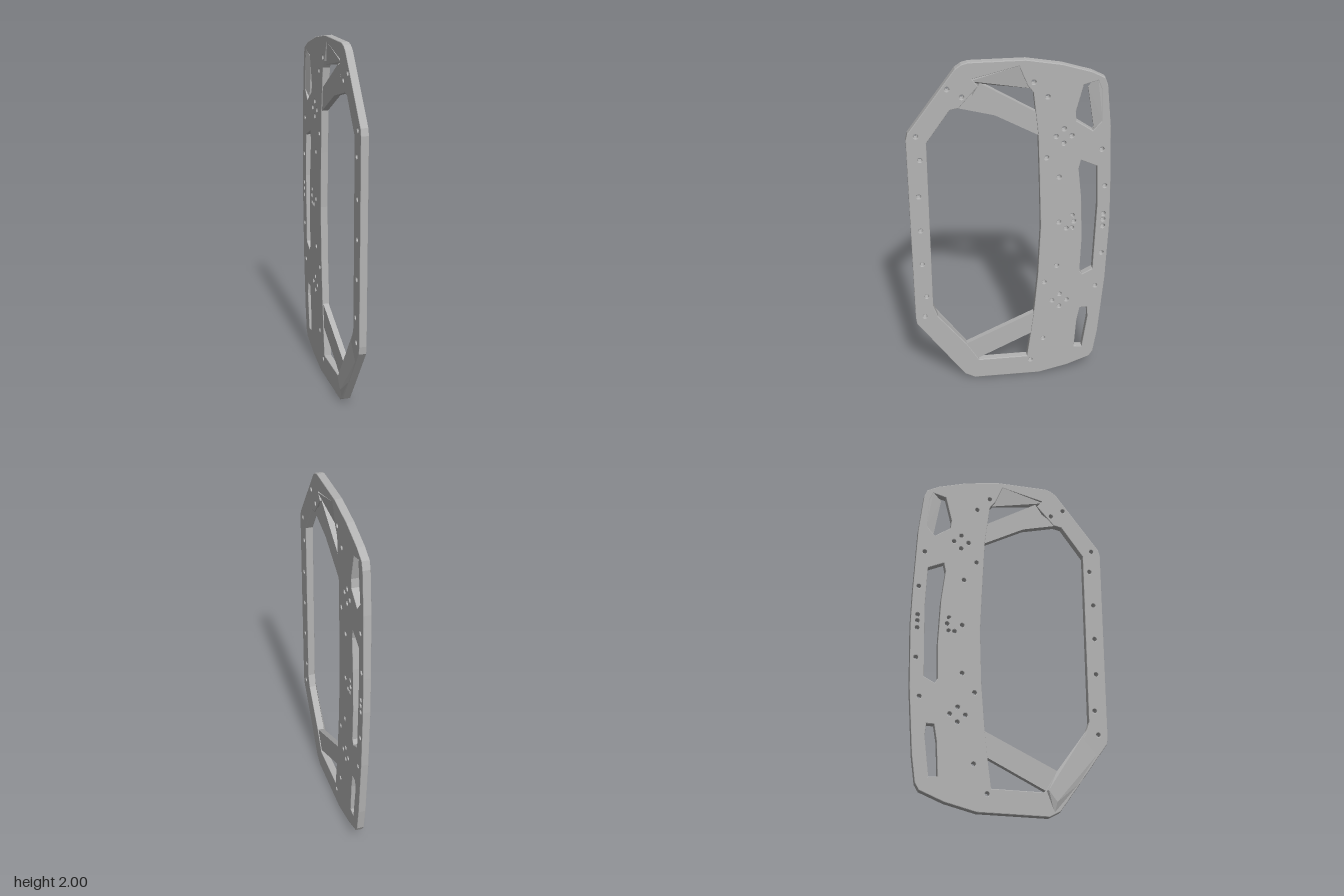
import * as THREE from 'three';
import { ConvexGeometry } from 'three/addons/geometries/ConvexGeometry.js';

const MID = 0.003; // centre plane of the plate in x
const HALF = 0.021; // half thickness of the plate
const BEVEL = 0.004;

const points = (list) => list.map(([z, y]) => new THREE.Vector2(z, y));

// Extrude a (z, y) shape across x, centred on the plate
function plate(shape, half, bevel) {
  const geo = new THREE.ExtrudeGeometry(shape, {
    depth: 2 * (half - bevel), bevelEnabled: bevel > 0, bevelThickness: bevel,
    bevelSize: bevel, bevelOffset: -bevel, bevelSegments: 2, curveSegments: 6,
  });
  geo.translate(0, 0, bevel - half);
  geo.rotateY(-Math.PI / 2);
  geo.translate(MID, 0, 0);
  return geo;
}

// Tapered web: each point is z, y and half thickness there
function web(list) {
  return new ConvexGeometry(list.flatMap(([z, y, h]) => [
    new THREE.Vector3(MID - h, y, z), new THREE.Vector3(MID + h, y, z)]));
}

export function createModel() {
  const model = new THREE.Group();
  model.name = 'framePlate';
  const grey = new THREE.MeshStandardMaterial({ color: 0xb4b4b4 });
  grey.name = 'grey';
  const add = (name, geo) => {
    const mesh = new THREE.Mesh(geo, grey);
    mesh.name = name;
    model.add(mesh);
  };

  // Outer outline of the frame
  const frame = new THREE.Shape(points([
    [0.55, 1.587], [0.54, 1.625], [0.286, 1.968], [0.254, 1.99], [0.22, 2], [-0.074, 2],
    [-0.26, 1.968], [-0.418, 1.92], [-0.487, 1.884], [-0.503, 1.841], [-0.529, 1.603],
    [-0.545, 1.233], [-0.55, 1.02], [-0.54, 0.65], [-0.513, 0.28], [-0.492, 0.132],
    [-0.47, 0.095], [-0.339, 0.042], [-0.169, 0], [0.217, 0], [0.275, 0.032],
    [0.392, 0.2], [0.545, 0.423], [0.55, 0.466],
  ]));

  const openings = [
    // main opening, later crossed by the two braces
    [[0.444, 1.566], [0.317, 1.746], [0.27, 1.755], [0.17, 1.87], [0.2, 1.91],
      [-0.04, 1.968], [-0.085, 1.86], [-0.115, 1.82], [-0.143, 1.582], [-0.153, 1.339],
      [-0.164, 1.02], [-0.153, 0.704], [-0.132, 0.439], [-0.116, 0.296], [-0.095, 0.13],
      [0.19, 0.13], [0.259, 0.249], [0.423, 0.466], [0.447, 0.54]],
    // corner slot
    [[-0.376, 1.85], [-0.45, 1.87], [-0.47, 1.82], [-0.478, 1.64], [-0.434, 1.588],
      [-0.344, 1.65], [-0.339, 1.7]],
    // long slot
    [[-0.376, 1.418], [-0.466, 1.376], [-0.476, 1.127], [-0.466, 0.72], [-0.407, 0.688],
      [-0.392, 0.714], [-0.397, 0.915], [-0.386, 1.18], [-0.365, 1.365]],
    // lower slot
    [[-0.402, 0.455], [-0.444, 0.455], [-0.45, 0.386], [-0.423, 0.17], [-0.376, 0.175],
      [-0.386, 0.36]],
  ];
  for (const o of openings) frame.holes.push(new THREE.Path(points(o)));

  // Drilled holes
  const drill = (z, y) => {
    frame.holes.push(new THREE.Path().absarc(z, y, 0.012, 0, Math.PI * 2, false));
  };
  for (const y of [1.608, 1.254, 1.042, 0.825, 0.471]) drill(0.497, y);
  for (const y of [1.471, 0.608]) drill(0.481, y);
  for (const y of [1.794, 1.444, 0.651, 0.254]) drill(-0.19, y);
  for (const y of [1.323, 0.757]) drill(-0.26, y);
  for (const y of [1.878, 0.1]) drill(-0.116, y);
  for (const y of [1.254, 1.079, 1.042, 1, 0.825]) drill(-0.513, y);
  for (const y of [1.476, 0.603]) drill(-0.487, y);
  for (const y of [1.566, 0.519]) {
    for (const [dz, dy] of [[0.042, 0], [-0.042, 0], [0, 0.042], [0, -0.042]]) drill(-0.28 + dz, y + dy);
  }
  for (const y of [1.079, 1]) for (const z of [-0.307, -0.339]) drill(z, y);
  drill(-0.265, 1.042);
  drill(-0.349, 1.042);
  drill(0.328, 1.862);
  drill(0.254, 1.815);
  add('frame', plate(frame, HALF, BEVEL));

  // Braces across the main opening, a little thinner than the frame
  add('upperBrace', plate(new THREE.Shape(points([
    [0.3, 1.75], [0.285, 1.757], [0.085, 1.704], [-0.15, 1.575], [-0.13, 1.71],
    [0.16, 1.885], [0.2, 1.82],
  ])), 0.017, 0));
  add('lowerBrace', plate(new THREE.Shape(points([
    [-0.14, 0.445], [0.265, 0.25], [0.2, 0.138], [-0.125, 0.3],
  ])), 0.016, 0));

  // Sloped webs that thin towards the openings
  add('topWeb', web([
    [0.21, 1.9, 0.02], [-0.04, 1.97, 0.02], [0.17, 1.88, 0.006], [-0.1, 1.84, 0.006],
  ]));
  add('cornerWeb', web([
    [-0.45, 1.875, 0.02], [-0.475, 1.82, 0.02], [-0.483, 1.64, 0.02],
    [-0.402, 1.83, 0.006], [-0.44, 1.6, 0.006],
  ]));

  // Raised wedge on the lower front arm, on the right-hand face
  const base = [[0.435, 0.5], [0.259, 0.249], [0.2, 0.138], [0.243, 0.02], [0.392, 0.2], [0.52, 0.4]];
  const ridge = [[0.21, 0.14], [0.255, 0.08]];
  add('armWedge', new ConvexGeometry([
    ...base.map(([z, y]) => new THREE.Vector3(-0.016, y, z)),
    ...ridge.map(([z, y]) => new THREE.Vector3(-0.03, y, z)),
  ]));

  return model;
}
